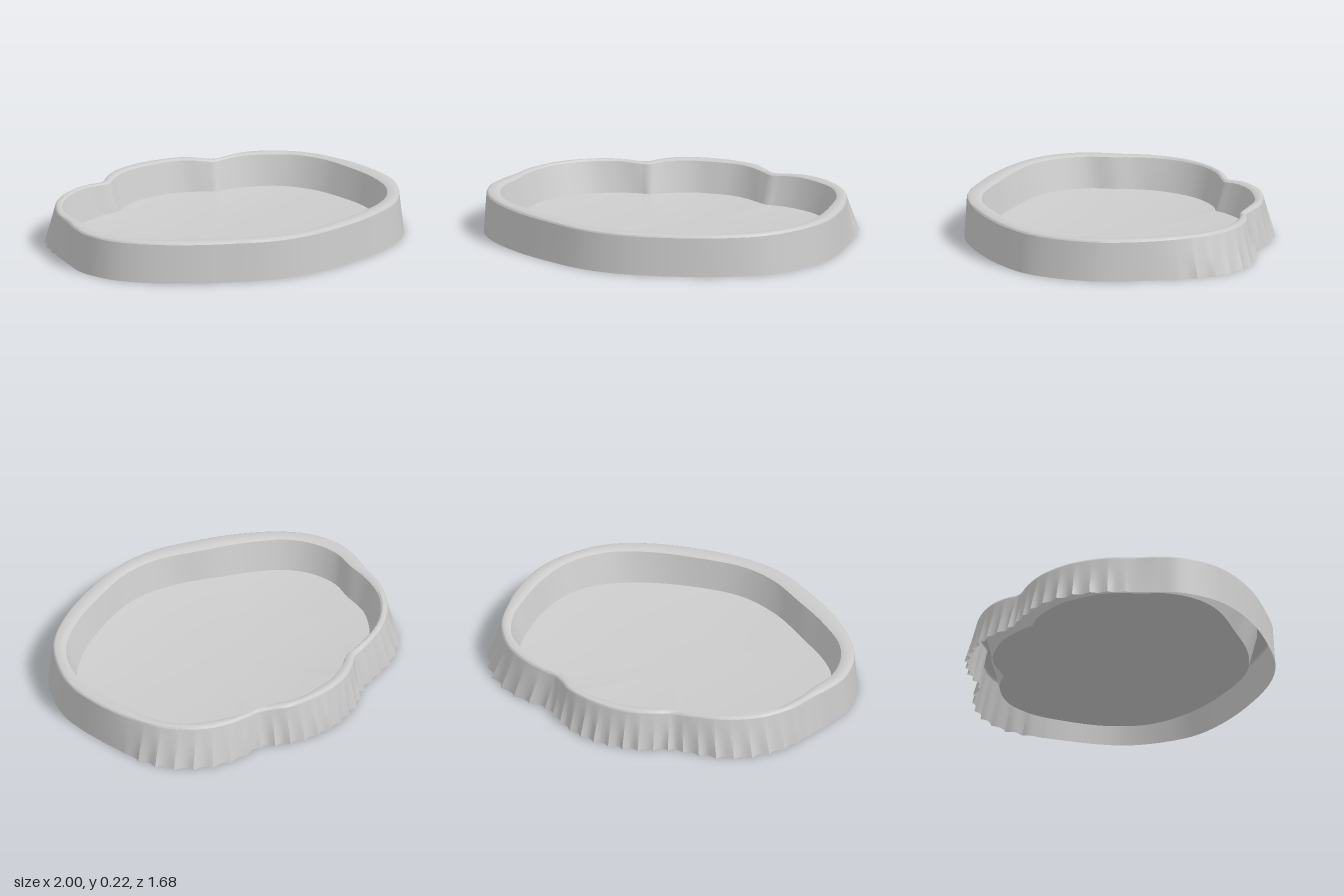
import * as THREE from 'three';
import { toCreasedNormals } from 'three/addons/utils/BufferGeometryUtils.js';

const FLUTES = 62, STEPS = 12, N = FLUTES * STEPS, TAU = Math.PI * 2;
const FLOOR_Y = 0.05, SAG = 0.036;

// Plan outlines as x, z pairs, clockwise from the back
const BASE = [.03, -.827, .19, -.805, .325, -.745, .415, -.685, .59, -.672, .75, -.615, .885, -.503, .96, -.365, .985, -.2,
  .998, 0, .998, .12, .98, .26, .905, .43, .77, .6, .57, .715, .3, .8, .01, .842, -.22, .815, -.46, .715, -.67, .595,
  -.85, .445, -.955, .295, -1, .1, -.98, -.02, -.95, -.15, -.92, -.27, -.873, -.395, -.77, -.53, -.635, -.62, -.48, -.662,
  -.345, -.692, -.21, -.777];
const RIM = [.03, -.78, .16, -.765, .27, -.73, .34, -.68, .4, -.645, .49, -.637, .59, -.62, .75, -.54, .885, -.38,
  .945, -.21, .968, -.11, .982, .05, .965, .24, .89, .41, .755, .58, .56, .698, .3, .785, .01, .828, -.21, .803,
  -.45, .7, -.66, .58, -.84, .43, -.943, .285, -.985, .11, -.965, -.02, -.93, -.13, -.885, -.29, -.77, -.46,
  -.61, -.572, -.45, -.625, -.34, -.645, -.27, -.695, -.18, -.745, -.08, -.773];
const LIP = [.03, -.725, .13, -.722, .215, -.7, .325, -.64, .38, -.61, .44, -.605, .535, -.588, .67, -.525, .79, -.43,
  .87, -.27, .893, -.13, .902, .11, .86, .32, .735, .5, .535, .62, .245, .71, .01, .75, -.185, .72, -.4, .618,
  -.61, .508, -.8, .368, -.885, .23, -.912, .08, -.885, -.05, -.865, -.19, -.8, -.36, -.665, -.5, -.5, -.577,
  -.36, -.6, -.31, -.608, -.25, -.65, -.16, -.695, -.07, -.72];
const FLOOR = [.03, -.68, .14, -.675, .24, -.64, .32, -.59, .372, -.56, .42, -.562, .54, -.54, .7, -.455, .81, -.295,
  .852, -.11, .862, .13, .79, .35, .6, .525, .295, .658, .01, .71, -.24, .655, -.505, .512, -.66, .42, -.77, .325,
  -.845, .2, -.868, .05, -.835, -.08, -.8, -.24, -.69, -.4, -.56, -.5, -.4, -.555, -.34, -.56, -.3, -.558,
  -.24, -.598, -.16, -.64, -.07, -.672];

// Smooth closed outline turned into N radii at even angles
function radii(pairs) {
  const pts = [];
  for (let i = 0; i < pairs.length; i += 2) pts.push(new THREE.Vector3(pairs[i], 0, pairs[i + 1]));
  const polar = new THREE.CatmullRomCurve3(pts, true).getPoints(2000).slice(0, -1)
    .map(p => [(Math.atan2(p.z, p.x) + TAU) % TAU, Math.hypot(p.x, p.z)])
    .sort((a, b) => a[0] - b[0]);
  const first = polar[0], last = polar[polar.length - 1];
  polar.unshift([last[0] - TAU, last[1]]);
  polar.push([first[0] + TAU, first[1]]);
  const out = [];
  for (let i = 0, k = 0; i < N; i++) {
    const a = (i / N) * TAU;
    while (polar[k + 1][0] < a) k++;
    const [a0, r0] = polar[k], [a1, r1] = polar[k + 1];
    out.push(r0 + (r1 - r0) * (a - a0) / Math.max(a1 - a0, 1e-9));
  }
  return out;
}

// Joins rows of (index) => [radius, height] into a closed band
function band(name, rows, material) {
  const pos = [], idx = [];
  for (const row of rows) {
    for (let i = 0; i < N; i++) {
      const a = (i / N) * TAU, [r, y] = row(i);
      pos.push(r * Math.cos(a), y, r * Math.sin(a));
    }
  }
  for (let j = 0; j < rows.length - 1; j++) {
    for (let i = 0; i < N; i++) {
      const n = (i + 1) % N, a = j * N + i, b = j * N + n, c = a + N, d = b + N;
      idx.push(a, c, b, b, c, d);
    }
  }
  const geo = new THREE.BufferGeometry();
  geo.setAttribute('position', new THREE.Float32BufferAttribute(pos, 3));
  geo.setIndex(idx);
  const mesh = new THREE.Mesh(toCreasedNormals(geo, 0.6), material);
  mesh.name = name;
  return mesh;
}

export function createModel() {
  const group = new THREE.Group();
  group.name = 'basin';
  const material = new THREE.MeshStandardMaterial({ color: 0xcccccc, side: THREE.DoubleSide });
  const base = radii(BASE), rim = radii(RIM), lip = radii(LIP), floor = radii(FLOOR);
  const mix = THREE.MathUtils.lerp;

  // The rim sinks slightly at the two notches in the back
  const dip = i => {
    const a = (i / N) * TAU;
    const bump = c => Math.exp(-(((a - c) / 0.13) ** 2));
    return 0.012 * (bump(Math.atan2(-.63, .4) + TAU) + bump(Math.atan2(-.63, -.35) + TAU));
  };
  // Ridges with shallow hollows between, uneven in depth and only around the back
  const flute = i => {
    const z = base[i] * Math.sin((i / N) * TAU);
    const ridge = 1 - Math.abs(Math.sin(Math.PI * i / STEPS));
    const depth = 0.022 + 0.005 * Math.sin(i * 0.19);
    return THREE.MathUtils.smoothstep(-z, 0.12, 0.4) * (ridge - 0.36) * depth;
  };

  // Outer skirt, fluted towards its foot
  const skirt = [];
  for (let j = 0; j <= 6; j++) {
    const t = j / 6;
    skirt.push(i => [mix(base[i], rim[i], t) + flute(i) * (1 - t) ** 1.3, t * (0.212 - dip(i))]);
  }
  group.add(band('skirt', skirt, material));

  // Flat rim with a small outer bevel and a crisp inner edge
  group.add(band('rim', [
    i => [rim[i], 0.212 - dip(i)],
    i => [rim[i] - 0.004, 0.22 - dip(i)],
    i => [rim[i] - 0.013, 0.225 - dip(i)],
    i => [mix(rim[i], lip[i], 0.75), 0.224 - dip(i)],
    i => [lip[i], 0.216 - dip(i)],
  ], material));

  // Sloping inner wall
  group.add(band('innerWall', [0, 0.33, 0.67, 1].map(t =>
    i => [mix(lip[i], floor[i], t), mix(0.216 - dip(i), FLOOR_Y, t)]), material));

  // Floor, sagging gently towards the middle
  const rings = [1, 0.95, 0.9, 0.8, 0.7, 0.6, 0.45, 0.3, 0.15, 0];
  group.add(band('floor', rings.map(s =>
    i => [floor[i] * s, FLOOR_Y - SAG * (1 - s ** 2.4)]), material));
  return group;
}
